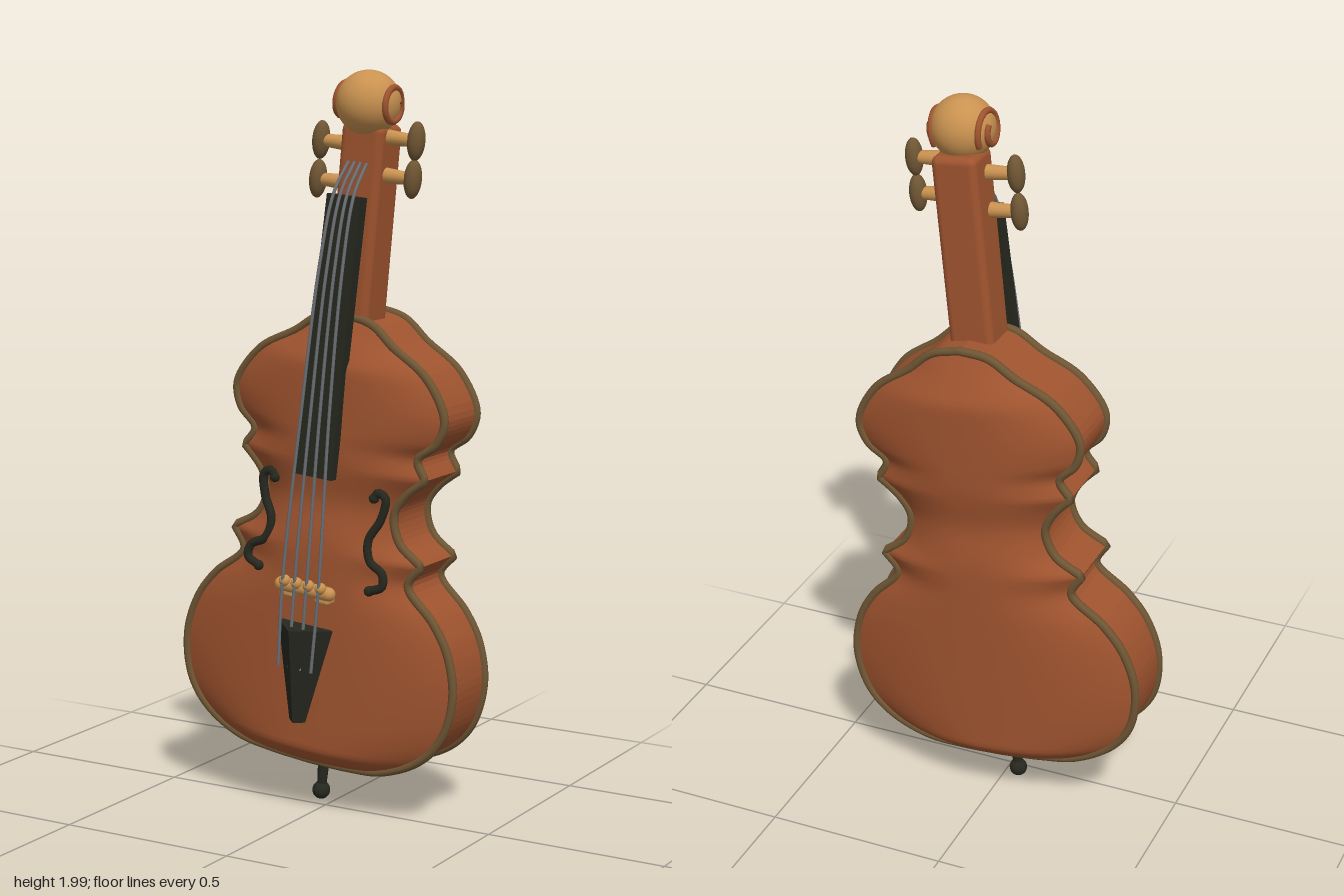
import * as THREE from 'three';
import { RoundedBoxGeometry } from 'three/addons/geometries/RoundedBoxGeometry.js';

const mat = (name, color, side = THREE.FrontSide) => {
  const m = new THREE.MeshStandardMaterial({ color, side });
  m.name = name;
  return m;
};

const FRONT_Z = 0.042, BACK_Z = -0.138;
const V = (x, y, z = 0) => new THREE.Vector3(x, y, z);

// Right half of the body outline, top to bottom, in three runs with sharp corners between them
function halfOutline() {
  const runs = [
    [[0, 1.365], [0.08, 1.35], [0.15, 1.3], [0.255, 1.235], [0.317, 1.135], [0.3, 1.07], [0.25, 1.02], [0.278, 0.968]],
    [[0.278, 0.968], [0.222, 0.915], [0.196, 0.862], [0.218, 0.79], [0.29, 0.738]],
    [[0.29, 0.738], [0.255, 0.68], [0.34, 0.595], [0.39, 0.52], [0.417, 0.41], [0.395, 0.29], [0.335, 0.213],
      [0.225, 0.156], [0.12, 0.142], [0, 0.138]],
  ];
  const pts = [];
  runs.forEach((run, i) => {
    const curve = new THREE.CatmullRomCurve3(run.map(([x, y]) => V(x, y)));
    pts.push(...curve.getPoints([36, 20, 50][i]).slice(i ? 1 : 0));
  });
  return pts;
}

// Height of the arched plates along the body
function archHeight(v) {
  const bottom = Math.sqrt(THREE.MathUtils.clamp((v - 0.138) / 0.05, 0, 1));
  const top = THREE.MathUtils.clamp((1.365 - v) / 0.13, 0, 1);
  return 0.071 * Math.min(bottom, top) * (1 - 0.25 * Math.exp(-(((v - 0.87) / 0.08) ** 2)));
}

// Arched plate: a grid whose rows follow the outline width; dir +1 front, -1 back
function plateGeometry(half, dir, z0) {
  const cols = 28;
  const g = new THREE.PlaneGeometry(2, 1, cols, half.length - 1);
  const p = g.attributes.position;
  for (let i = 0; i < p.count; i++) {
    const t = p.getX(i);
    const { x: w, y: v } = half[Math.floor(i / (cols + 1))];
    p.setXYZ(i, dir * t * w, v, z0 + dir * archHeight(v) * (1 - Math.abs(t) ** 2.4));
  }
  g.computeVertexNormals();
  return g;
}

export function createModel() {
  const wood = mat('red brown wood', 0xa0542f);
  const trim = mat('dark trim', 0x6f5634);
  const tan = mat('tan wood', 0xc99250);
  const ebony = mat('ebony', 0x26281f);
  const steel = mat('string steel', 0x6c7076);

  const model = new THREE.Group();
  model.name = 'cello';
  const lean = new THREE.Group();
  lean.name = 'leaningCello';
  lean.position.x = -0.043;
  lean.rotation.z = -0.0955;
  model.add(lean);

  const add = (name, geometry, material, x = 0, y = 0, z = 0) => {
    const m = new THREE.Mesh(geometry, material);
    m.name = name;
    m.position.set(x, y, z);
    lean.add(m);
    return m;
  };
  const tube = (name, pts, radius, material, segments = 48, closed = false) => {
    const c = new THREE.CatmullRomCurve3(pts, closed);
    return add(name, new THREE.TubeGeometry(c, segments, radius, 8, closed), material);
  };

  // Body: ribs, arched plates and edge binding
  const half = halfOutline();
  const loop = [...half, ...half.slice(1, -1).reverse().map((p) => V(-p.x, p.y))];
  const shape = new THREE.Shape(loop.map((p) => new THREE.Vector2(p.x, p.y)));
  add('ribs', new THREE.ExtrudeGeometry(shape, { depth: FRONT_Z - BACK_Z, bevelEnabled: false }), wood, 0, 0, BACK_Z);
  add('frontPlate', plateGeometry(half, 1, FRONT_Z), wood);
  add('backPlate', plateGeometry(half, -1, BACK_Z), wood);
  for (const [name, z] of [['frontBinding', FRONT_Z], ['backBinding', BACK_Z]]) {
    tube(name, loop.map((p) => V(p.x, p.y, z)), 0.012, trim, 300, true);
  }

  // Neck and pegbox
  add('neck', new RoundedBoxGeometry(0.125, 0.56, 0.118, 3, 0.02), wood, 0, 1.585, -0.012);

  // Scroll: ball with a spiral on each side
  add('scrollBall', new THREE.SphereGeometry(0.085, 32, 24), tan, 0, 1.918, 0.018);
  for (const s of [-1, 1]) {
    const pts = [];
    for (let i = 0; i <= 24; i++) {
      const a = -0.6 + (i / 24) * 7.6, r = 0.058 - 0.03 * (i / 24);
      const x = Math.sqrt(0.085 ** 2 - r * r);
      pts.push(V(s * x, 1.915 + r * Math.sin(a), 0.018 - r * Math.cos(a)));
    }
    tube('scrollSpiral', pts, 0.009, wood, 60);
  }

  // Tuning pegs, staggered from side to side
  for (const [s, v] of [[-1, 1.806], [-1, 1.704], [1, 1.835], [1, 1.737]]) {
    const shaft = add('pegShaft', new THREE.CylinderGeometry(0.016, 0.022, 0.1, 16), tan, s * 0.09, v, 0.004);
    shaft.rotation.z = -s * Math.PI / 2;
    const head = add('pegHead', new THREE.SphereGeometry(1, 20, 14), trim, s * 0.141, v, 0.004);
    head.scale.set(0.023, 0.051, 0.026);
  }

  // Fingerboard, widening and thinning toward the body
  const board = new THREE.BoxGeometry(0.105, 0.74, 0.032);
  const bp = board.attributes.position;
  for (let i = 0; i < bp.count; i++) {
    const up = bp.getY(i) > 0;
    bp.setX(i, bp.getX(i) * (up ? 0.95 : 1.05));
    bp.setZ(i, bp.getZ(i) * (up ? 1.15 : 0.85));
  }
  board.computeVertexNormals();
  add('fingerboard', board, ebony, 0, 1.312, 0.111).rotation.x = -0.057;

  // Strings, fanning out from nut to tailpiece
  for (let i = 0; i < 4; i++) {
    const k = i - 1.5;
    tube('string', [V(k * 0.018, 1.765, 0.05), V(k * 0.02, 1.685, 0.108), V(k * 0.023, 1.5, 0.142),
      V(k * 0.028, 1.13, 0.16), V(k * 0.037, 0.65, 0.163), V(k * 0.034, 0.42, 0.158)], 0.0045, steel);
  }

  // Bridge: bar, feet and string saddles
  const bar = add('bridgeBar', new THREE.CapsuleGeometry(0.019, 0.145, 6, 14), tan, 0, 0.638, 0.138);
  bar.rotation.z = Math.PI / 2;
  for (const s of [-1, 1]) {
    add('bridgeFoot', new RoundedBoxGeometry(0.045, 0.035, 0.05, 2, 0.01), tan, s * 0.055, 0.622, 0.12);
  }
  for (let i = 0; i < 4; i++) {
    add('bridgeSaddle', new THREE.SphereGeometry(0.016, 12, 8), tan, (i - 1.5) * 0.037, 0.652, 0.152);
  }

  // Tailpiece: four-sided taper with one edge forward
  const tail = new THREE.CylinderGeometry(0.085, 0.025, 0.268, 4, 1).toNonIndexed();
  tail.computeVertexNormals();
  add('tailpiece', tail, ebony, 0, 0.4, 0.12);

  // Sound holes, mirrored
  const hole = [[0.153, 0.905], [0.165, 0.922], [0.187, 0.91], [0.179, 0.852], [0.15, 0.79], [0.163, 0.737],
    [0.203, 0.712], [0.208, 0.679], [0.172, 0.66]];
  for (const s of [-1, 1]) {
    tube('soundHole', hole.map(([x, y]) => V(s * x, y, 0.082 + Math.max(0, 0.85 - y) * 0.09)), 0.012, ebony, 60);
    for (const [x, y] of [hole[0], hole[8]]) {
      add('soundHoleEnd', new THREE.SphereGeometry(0.014, 12, 8), ebony, s * x, y, 0.082 + Math.max(0, 0.85 - y) * 0.09);
    }
  }

  // Endpin
  add('endpin', new THREE.CylinderGeometry(0.018, 0.012, 0.13, 16), ebony, 0, 0.085, -0.045);
  add('endpinTip', new THREE.SphereGeometry(0.025, 18, 12), ebony, 0, 0.025, -0.045);

  return model;
}
